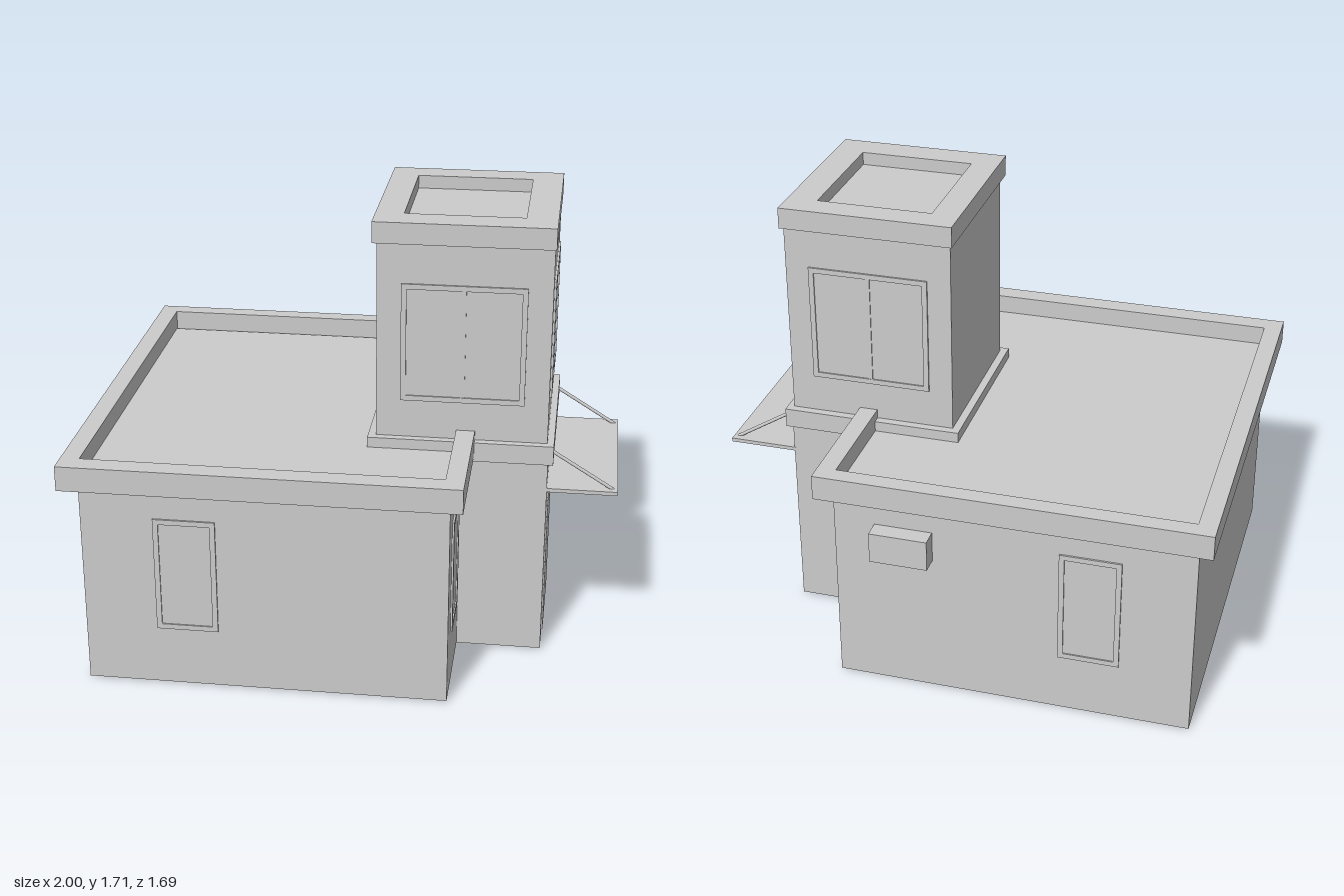
import * as THREE from 'three';

const grey = new THREE.MeshStandardMaterial({ color: 0xcccccc });
const greyOpen = new THREE.MeshStandardMaterial({ color: 0xcccccc, side: THREE.DoubleSide });

export function createModel() {
  const model = new THREE.Group();

  const add = (name, geometry, material = grey, parent = model) => {
    const mesh = new THREE.Mesh(geometry, material);
    mesh.name = name;
    parent.add(mesh);
    return mesh;
  };

  // Box given by its limits on each axis
  const box = (name, [x0, x1], [y0, y1], [z0, z1], parent = model) => {
    const mesh = add(name, new THREE.BoxGeometry(x1 - x0, y1 - y0, z1 - z0), grey, parent);
    mesh.position.set((x0 + x1) / 2, (y0 + y1) / 2, (z0 + z1) / 2);
    return mesh;
  };

  // Box with its bottom face left out
  const openBox = (name, xs, ys, zs) => {
    const mesh = box(name, xs, ys, zs);
    const index = Array.from(mesh.geometry.index.array);
    index.splice(18, 6);
    mesh.geometry.setIndex(index);
    mesh.geometry.clearGroups();
    mesh.material = greyOpen;
  };

  // Rectangular outline with counter-clockwise corners
  const rect = (Type, [a0, a1], [b0, b1]) => {
    const path = new Type();
    path.moveTo(a0, b0).lineTo(a1, b0).lineTo(a1, b1).lineTo(a0, b1).closePath();
    return path;
  };
  const frameGeometry = (outerA, outerB, innerA, innerB, depth) => {
    const shape = rect(THREE.Shape, outerA, outerB);
    shape.holes.push(rect(THREE.Path, innerA, innerB));
    return new THREE.ExtrudeGeometry(shape, { depth, bevelEnabled: false });
  };

  // Horizontal parapet ring
  const parapet = (name, xs, zs, innerXs, innerZs, y0, y1) => {
    const flip = ([a, b]) => [-b, -a];
    const geometry = frameGeometry(xs, flip(zs), innerXs, flip(innerZs), y1 - y0);
    add(name, geometry.rotateX(-Math.PI / 2)).position.y = y0;
  };

  // Window facing local +z: thin frame, glass set back, optional centre bar
  const window_ = (name, width, height, position, turn, bar) => {
    const group = new THREE.Group();
    group.name = name;
    const w = width / 2, h = height / 2, t = 0.02;
    add('windowFrame', frameGeometry([-w, w], [-h, h], [-w + t, w - t], [-h + t, h - t], 0.007), grey, group);
    box('windowGlass', [-w + t, w - t], [-h + t, h - t], [-0.002, 0.002], group);
    if (bar) box('windowBar', [-0.008, 0.008], [-h + t, h - t], [0, 0.006], group);
    group.position.set(...position);
    group.rotation.y = turn;
    model.add(group);
  };

  // Main building with a flat sunken roof
  openBox('mainWalls', [-0.94, 0.41], [0.005, 0.83], [-0.77, 0.773]);
  parapet('mainParapet', [-1, 0.46], [-0.847, 0.845], [-0.93, 0.39], [-0.78, 0.765], 0.81, 0.905);

  // Tower: entrance block, ledge, upper storey and cap
  openBox('entranceWalls', [0.40, 0.735], [0.005, 0.81], [-0.335, 0.348]);
  box('towerLedge', [0.06, 0.755], [0.795, 0.87], [-0.355, 0.365]);
  box('towerWalls', [0.09, 0.73], [0.86, 1.66], [-0.323, 0.335]);
  parapet('towerCap', [0.075, 0.735], [-0.355, 0.367], [0.18, 0.62], [-0.25, 0.25], 1.63, 1.71);

  // Ground floor windows
  const right = Math.PI / 2;
  window_('frontWindow', 0.23, 0.45, [-0.555, 0.46, 0.773], 0, false);
  window_('backWindow', 0.23, 0.45, [-0.555, 0.46, -0.77], Math.PI, false);
  for (const z of [0.547, -0.535]) window_('sideWindow', 0.235, 0.45, [0.41, 0.46, z], right, false);

  // Tower windows
  window_('towerFrontWindow', 0.46, 0.455, [0.41, 1.245, 0.335], 0, true);
  window_('towerBackWindow', 0.46, 0.455, [0.41, 1.245, -0.323], Math.PI, true);
  window_('towerSideWindow', 0.48, 0.455, [0.73, 1.245, 0.005], right, true);

  // Double entrance door
  for (const s of [1, -1]) {
    const zs = [s * 0.003, s * 0.19].sort((a, b) => a - b);
    box('doorLeaf', [0.725, 0.739], [0, 0.565], zs);
  }

  // Awning hung on two rods
  box('awning', [0.73, 0.998], [0.677, 0.692], [-0.337, 0.347]);
  for (const z of [0.315, -0.305]) {
    const rod = new THREE.LineCurve3(new THREE.Vector3(0.74, 0.838, z), new THREE.Vector3(0.985, 0.686, z));
    add('awningRod', new THREE.TubeGeometry(rod, 1, 0.007, 8), greyOpen);
  }

  // Air conditioner on the back wall
  box('airConditioner', [0.035, 0.255], [0.57, 0.69], [-0.838, -0.765]);

  return model;
}
